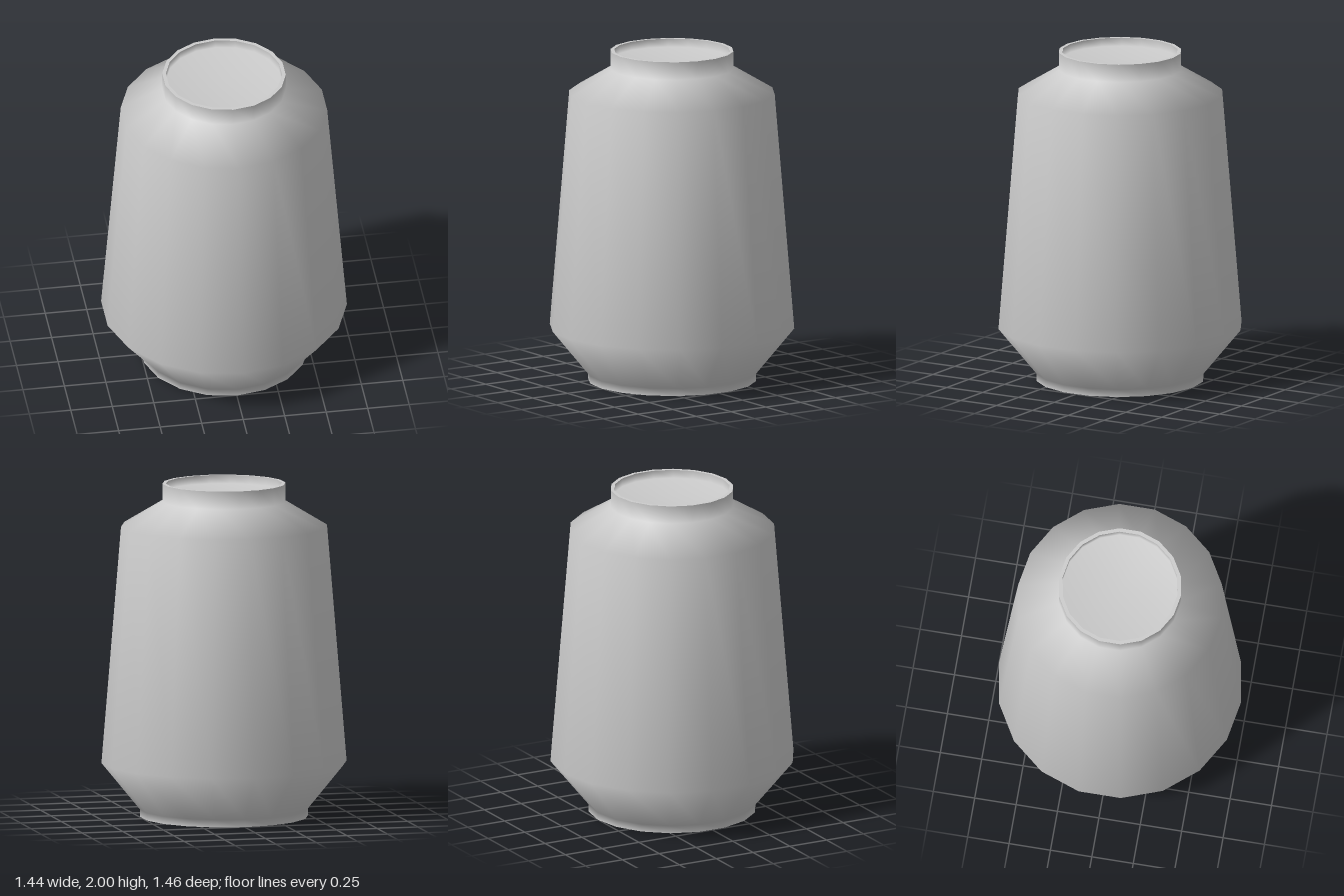
import * as THREE from 'three';

const SIDES = 18;

// Revolves a list of [radius, height] points; upright faces look outward when heights rise.
function turned(name, points, material) {
  const profile = points.map(([r, y]) => new THREE.Vector2(r, y));
  const mesh = new THREE.Mesh(new THREE.LatheGeometry(profile, SIDES), material);
  mesh.name = name;
  return mesh;
}

export function createModel() {
  const group = new THREE.Group();
  group.name = 'jar';
  const material = new THREE.MeshStandardMaterial({ color: 0xcccccc });

  // outer wall: foot, flared underside, tapering body, shoulder and neck
  group.add(turned('outerWall', [
    [0.503, 0], [0.503, 0.045], [0.732, 0.325], [0.615, 1.745], [0.368, 1.893], [0.368, 2],
  ], material));

  // flat lip of the neck and the shallow dish set into it
  group.add(turned('neckLip', [[0.368, 2], [0.346, 2]], material));
  group.add(turned('neckDish', [[0.346, 2], [0.346, 1.95], [0, 1.95]], material));

  // flat foot ring and the shallow recess within it
  group.add(turned('footRing', [[0.483, 0], [0.503, 0]], material));
  group.add(turned('footRecess', [[0, 0.05], [0.483, 0.05], [0.483, 0]], material));

  return group;
}
